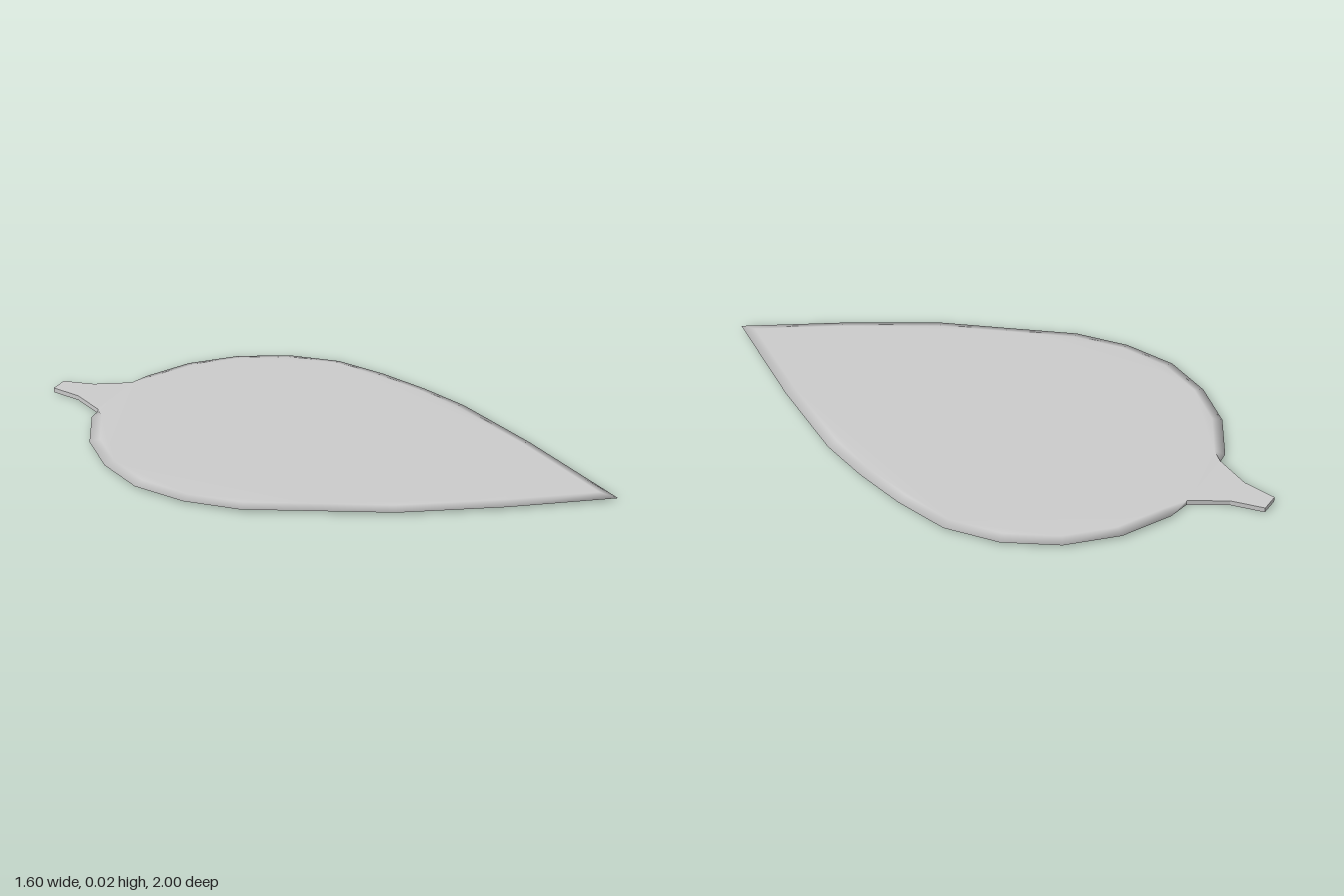
import * as THREE from 'three';

const THICKNESS = 0.02;
const BEVEL = 0.042;

// Blade outline as (x, z), from one side of the stem round to the other
const bladeOutline = [
  [-0.39, -0.845], [-0.3, -0.895], [-0.08, -0.93], [0.145, -0.895], [0.35, -0.79],
  [0.51, -0.63], [0.61, -0.42], [0.685, -0.2], [0.74, 0.02], [0.78, 0.44],
  [0.8, 1], [0.39, 0.855], [0, 0.69], [-0.245, 0.54], [-0.5, 0.385],
  [-0.66, 0.22], [-0.77, 0.02], [-0.8, -0.2], [-0.77, -0.42], [-0.67, -0.63],
  [-0.625, -0.67],
].map(([x, z]) => new THREE.Vector2(x, z));

// Stem outline, sharing its root corners with the blade
const stemOutline = [
  [-0.625, -0.67], [-0.645, -0.83], [-0.705, -0.955], [-0.64, -1], [-0.54, -0.91], [-0.39, -0.845],
];

// Moves the outline inwards with mitred corners; the two stem corners stay put
function insetOutline(points, distance) {
  const inward = (a, b) => new THREE.Vector2(a.y - b.y, b.x - a.x).normalize();
  return points.map((p, i) => {
    if (i === 0 || i === points.length - 1) return p.clone();
    const n1 = inward(points[i - 1], p);
    const n2 = inward(p, points[i + 1]);
    const miter = n1.clone().add(n2).multiplyScalar(distance / (1 + n1.dot(n2)));
    return miter.add(p);
  });
}

// Flat leaf with a knife-edged rim: top ring, rim ring and bottom ring
function createBladeGeometry() {
  const n = bladeOutline.length;
  const inner = insetOutline(bladeOutline, BEVEL);
  const positions = [];
  const addRing = (points, y) => points.forEach((p) => positions.push(p.x, y, p.y));
  addRing(inner, THICKNESS);
  addRing(bladeOutline, THICKNESS / 2);
  addRing(inner, 0);

  const index = [];
  for (let i = 0; i < n - 1; i++) {
    const top = i, rim = n + i, bottom = 2 * n + i;
    index.push(rim, top, rim + 1, top, top + 1, rim + 1);
    index.push(rim, rim + 1, bottom, bottom, rim + 1, bottom + 1);
  }
  for (const [a, b, c] of THREE.ShapeUtils.triangulateShape(inner, [])) {
    index.push(a, c, b, 2 * n + a, 2 * n + b, 2 * n + c);
  }

  const geometry = new THREE.BufferGeometry();
  geometry.setAttribute('position', new THREE.Float32BufferAttribute(positions, 3));
  geometry.setIndex(index);
  geometry.computeVertexNormals();
  return geometry;
}

// Straight-sided stem of the same thickness
function createStemGeometry() {
  const shape = new THREE.Shape(stemOutline.map(([x, z]) => new THREE.Vector2(x, -z)));
  const geometry = new THREE.ExtrudeGeometry(shape, { depth: THICKNESS, bevelEnabled: false });
  return geometry.rotateX(-Math.PI / 2);
}

export function createModel() {
  const material = new THREE.MeshStandardMaterial({ color: 0xcccccc });
  const leaf = new THREE.Group();
  leaf.name = 'leaf';

  const blade = new THREE.Mesh(createBladeGeometry(), material);
  blade.name = 'blade';
  const stem = new THREE.Mesh(createStemGeometry(), material);
  stem.name = 'stem';

  leaf.add(blade, stem);
  return leaf;
}
